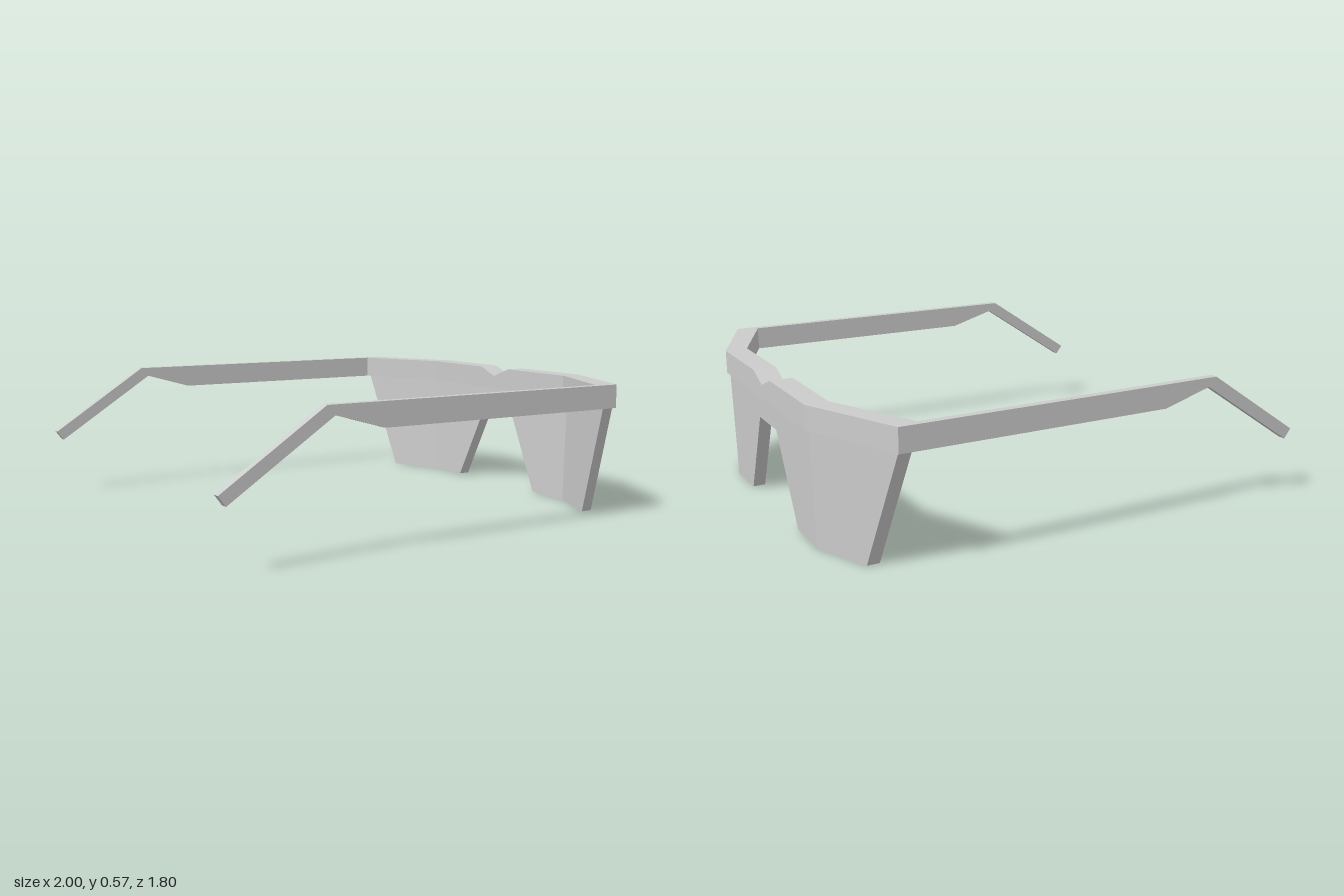
import * as THREE from 'three';

// Skins a row of four-cornered rings (counterclockwise seen from the far end) and caps both ends.
function loft(rings) {
  const pos = [];
  const quad = (a, b, c, d) => pos.push(...a, ...b, ...c, ...a, ...c, ...d);
  for (let r = 0; r < rings.length - 1; r++) {
    const A = rings[r], B = rings[r + 1];
    for (let i = 0; i < 4; i++) {
      const j = (i + 1) % 4;
      quad(A[i], A[j], B[j], B[i]);
    }
  }
  const first = rings[0], last = rings[rings.length - 1];
  quad(first[3], first[2], first[1], first[0]);
  quad(last[0], last[1], last[2], last[3]);
  const geometry = new THREE.BufferGeometry();
  geometry.setAttribute('position', new THREE.Float32BufferAttribute(pos, 3));
  geometry.computeVertexNormals();
  return geometry;
}

// Extends a half list of stations, given from the centre outwards, to both sides of z = 0.
function mirrored(half) {
  const other = half.filter((s) => s.z > 0).map((s) => ({ ...s, side: -1 })).reverse();
  return [...other, ...half.map((s) => ({ ...s, side: 1 }))];
}

export function createModel() {
  const group = new THREE.Group();
  group.name = 'glasses';
  const grey = new THREE.MeshStandardMaterial({ color: 0xcccccc, flatShading: true });
  grey.name = 'plain grey';
  const add = (name, rings) => {
    const mesh = new THREE.Mesh(loft(rings), grey);
    mesh.name = name;
    group.add(mesh);
  };

  const barBottom = 0.472, barTop = 0.57;

  // Brow bar: wraps round the face, with a notch in the middle
  const brow = mirrored([
    { z: 0, zi: 0, xo: 1, xi: 0.905, top: 0.53 },
    { z: 0.1, zi: 0.1, xo: 1, xi: 0.905, top: barTop },
    { z: 0.485, zi: 0.485, xo: 1, xi: 0.905, top: barTop },
    { z: 0.9, zi: 0.868, xo: 0.818, xi: 0.73, top: barTop },
  ]);
  add('browBar', brow.map(({ z, zi, xo, xi, top, side }) => [
    [xo, top, side * z], [xi, top, side * zi],
    [xi, barBottom, side * zi], [xo, barBottom, side * z],
  ]));

  // Lens shield: one bent sheet, leaning slightly back towards its lower edge
  const lensX = (z, y) => 0.986 - 0.435 * Math.max(0, z - 0.485) - 0.024 * (barBottom - y);
  const thickness = 0.052;
  const lens = mirrored([
    { z: 0.1, bottom: 0.367 },
    { z: 0.28, bottom: 0.003 },
    { z: 0.485, bottom: 0 },
    { z: 0.72, bottom: 0 },
    { z: 0.885, bottom: barBottom },
  ]);
  add('lensShield', lens.map(({ z, bottom, side }) => {
    const xt = lensX(z, barBottom), xb = lensX(z, bottom);
    return [
      [xt, barBottom, side * z], [xt - thickness, barBottom, side * z],
      [xb - thickness, bottom, side * z], [xb, bottom, side * z],
    ];
  }));

  // Temples: mitred to the brow bar, thinning and bending down behind the ear
  const outline = [
    { top: [-0.33, barTop], bottom: [-0.33, barBottom] },
    { top: [-0.575, barTop], bottom: [-0.54, 0.532] },
    { top: [-1, 0.29], bottom: [-0.97, 0.25] },
  ];
  for (const side of [1, -1]) {
    const zo = side * 0.9, zi = side * 0.868;
    const rings = [
      [[0.818, barTop, zo], [0.73, barTop, zi], [0.73, barBottom, zi], [0.818, barBottom, zo]],
      ...outline.map(({ top, bottom }) => [
        [...top, zo], [...top, zi], [...bottom, zi], [...bottom, zo],
      ]),
    ];
    add(side > 0 ? 'leftTemple' : 'rightTemple', side > 0 ? rings : rings.map((r) => r.reverse()));
  }
  return group;
}
